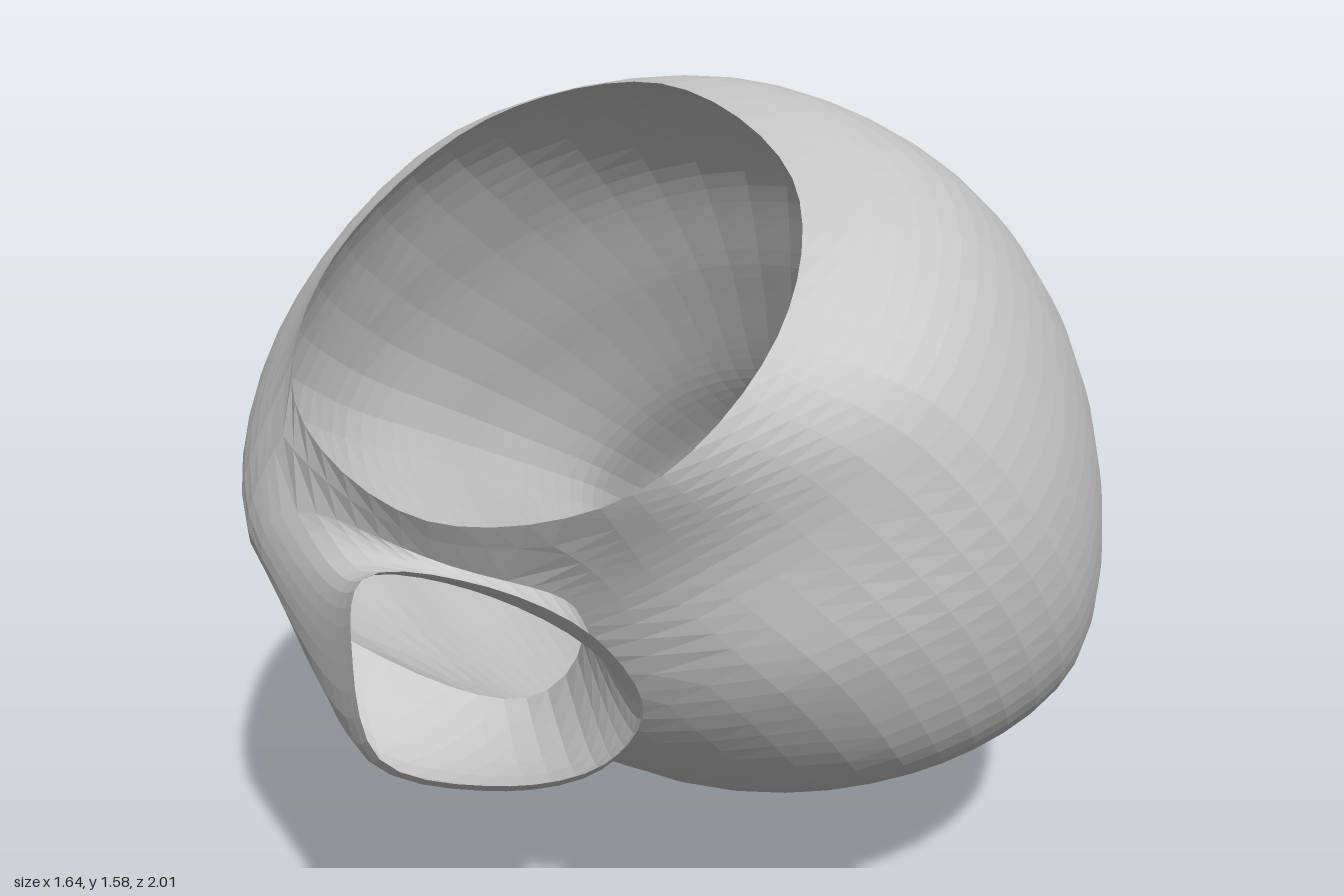
import * as THREE from 'three';

const V = (x, y, z) => new THREE.Vector3(x, y, z);
const SUB_AROUND = 6, SUB_ALONG = 8;

// Eight meridians, from the large rim down towards the apex
const meridians = [
  [[0.05, 1.49, 0.48], [0.42, 1.39, 0.26], [0.67, 1.11, 0.12], [0.78, 0.75, -0.02], [0.8, 0.45, -0.32], [0.73, 0.24, -0.79]],
  [[-0.05, 1.32, 0.72], [0.2, 1.19, 0.745], [0.46, 0.87, 0.67], [0.61, 0.55, 0.48], [0.68, 0.28, 0.05], [0.66, 0.09, -0.7]],
  [[-0.31, 1.135, 0.83], [-0.17, 0.95, 0.74], [0.06, 0.71, 0.735], [0.25, 0.43, 0.58], [0.4, 0.2, 0.1], [0.49, 0.005, -0.69]],
  [[-0.6, 1.08, 0.72], [-0.5, 0.77, 0.6], [-0.27, 0.45, 0.4], [-0.08, 0.27, 0.2], [0.13, 0.13, -0.12], [0.33, 0.04, -0.69]],
  [[-0.75, 1.17, 0.41], [-0.81, 0.85, 0.36], [-0.54, 0.67, 0.15], [-0.25, 0.52, -0.07], [0.01, 0.31, -0.36], [0.23, 0.15, -0.8]],
  [[-0.64, 1.32, 0.16], [-0.73, 1.09, -0.04], [-0.6, 0.9, -0.24], [-0.33, 0.7, -0.45], [-0.02, 0.48, -0.67], [0.21, 0.28, -0.91]],
  [[-0.35, 1.5, 0.04], [-0.38, 1.4, -0.18], [-0.2, 1.17, -0.4], [0.05, 0.9, -0.59], [0.22, 0.65, -0.75], [0.41, 0.41, -0.94]],
  [[-0.08, 1.575, 0.17], [0.14, 1.51, -0.04], [0.32, 1.26, -0.37], [0.41, 0.93, -0.57], [0.48, 0.65, -0.74], [0.6, 0.41, -0.9]],
].map(m => m.map(p => V(...p)));
const apex = V(0.47, 0.19, -1);

const COLS = meridians.length * SUB_AROUND, ROWS = 6 * SUB_ALONG;

// Each meridian runs over the apex into the opposite one, so the tip is round
const curves = meridians.map((m, i) =>
  new THREE.CatmullRomCurve3([...m, apex, meridians[(i + 4) % 8][5]], false, 'centripetal'));

// Point on the body at column i and row j, both may be fractions
function bodyPoint(i, j) {
  const knots = curves.map(c => c.getPoint(j / SUB_ALONG / 7));
  return new THREE.CatmullRomCurve3(knots, true, 'centripetal').getPoint(i / COLS);
}

// Window in the body wall from which the short outlet grows
const win = { i0: 15, i1: 24, j0: 2, j1: 11 };

// Draw the grid lines round the window in, so that its outline is an oval
function roundWindow(i, j) {
  const ci = (win.i0 + win.i1) / 2, cj = (win.j0 + win.j1) / 2;
  const hi = (win.i1 - win.i0) / 2, hj = (win.j1 - win.j0) / 2;
  const a = (i - ci) / hi, b = (j - cj) / hj, m = Math.max(Math.abs(a), Math.abs(b), 1);
  const fade = Math.min((m - 1) / 0.4, 1);
  const shrink = other => THREE.MathUtils.lerp(Math.sqrt(1 - (other / m) ** 2 / 2), 1, fade);
  return [ci + hi * a * shrink(b), cj + hj * b * shrink(a)];
}

// rows[j][i]: closed rings of points from rim to apex
function bodyRows() {
  const rows = Array.from({ length: ROWS }, (_, j) =>
    Array.from({ length: COLS }, (_, i) => bodyPoint(...roundWindow(i, j))));
  return [...rows, Array(COLS).fill(apex)];
}

// Skin over closed rings, leaving out the cells where skip(i, j) is true
function skin(rows, skip = () => false) {
  const n = rows[0].length, pos = [], idx = [];
  rows.forEach(r => r.forEach(p => pos.push(p.x, p.y, p.z)));
  for (let j = 0; j < rows.length - 1; j++) {
    for (let i = 0; i < n; i++) {
      if (skip(i, j)) continue;
      const a = j * n + i, b = j * n + (i + 1) % n;
      idx.push(a, b, a + n);
      if (rows[j + 1][i] !== rows[j + 1][(i + 1) % n]) idx.push(b, b + n, a + n);
    }
  }
  const g = new THREE.BufferGeometry();
  g.setAttribute('position', new THREE.Float32BufferAttribute(pos, 3));
  g.setIndex(idx);
  g.computeVertexNormals();
  return g;
}

// Walk round the window from its upper right corner
function windowLoop(rows) {
  const { i0, i1, j0, j1 } = win, loop = [];
  for (let i = i0; i < i1; i++) loop.push(rows[j0][i]);
  for (let j = j0; j < j1; j++) loop.push(rows[j][i1]);
  for (let i = i1; i > i0; i--) loop.push(rows[j1][i]);
  for (let j = j1; j > j0; j--) loop.push(rows[j][i0]);
  return loop;
}

// Uneven mouth in a slanted upright plane, each wall line curving out to it
function outletRows(rows) {
  const centre = V(-0.53, 0.845, 0.845), normal = V(-0.63, 0, 0.78);
  const mouth = new THREE.CatmullRomCurve3([
    [-0.4, 0.97], [-0.55, 1.02], [-0.7, 0.99], [-0.72, 0.86],
    [-0.69, 0.68], [-0.53, 0.68], [-0.39, 0.76], [-0.34, 0.87],
  ].map(([x, y]) => V(x, y, 0.845 + 0.81 * (x + 0.53))), true, 'centripetal');
  const loop = windowLoop(rows);
  const walls = loop.map((p, k) => {
    const end = mouth.getPoint(k / loop.length);
    const bend = end.clone().sub(centre).multiplyScalar(1.1).add(centre)
      .addScaledVector(normal, -0.12).add(V(-0.08, -0.09, 0));
    return new THREE.QuadraticBezierCurve3(p, bend, end);
  });
  const steps = 8;
  return Array.from({ length: steps + 1 }, (_, s) => walls.map(w => w.getPoint(s / steps)));
}

export function createModel() {
  const group = new THREE.Group();
  group.name = 'hollowChamber';
  const material = new THREE.MeshStandardMaterial({
    color: 0xcccccc, flatShading: true, side: THREE.DoubleSide,
  });
  const add = (name, geometry) => {
    const mesh = new THREE.Mesh(geometry, material);
    mesh.name = name;
    group.add(mesh);
  };
  const rows = bodyRows();
  // Sack-like body, open at the large rim
  add('chamberBody', skin(rows, (i, j) =>
    i >= win.i0 && i < win.i1 && j >= win.j0 && j < win.j1));
  // Short flared outlet beside the rim
  add('outletTube', skin(outletRows(rows)));
  return group;
}
